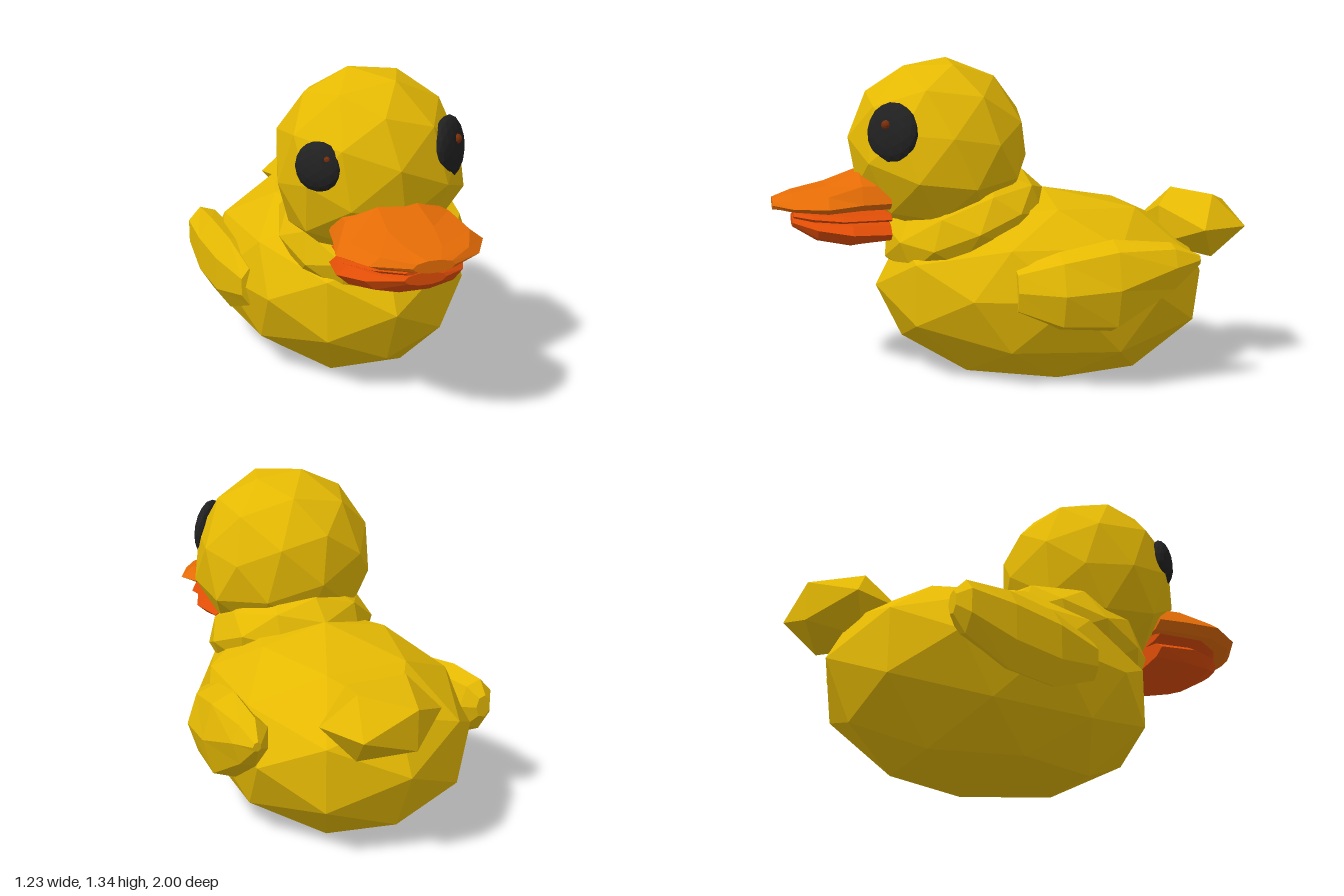
import * as THREE from 'three';

export function createModel() {
  const duck = new THREE.Group();
  duck.name = 'duck';

  const paint = (name, color) => {
    const m = new THREE.MeshStandardMaterial({ color, flatShading: true });
    m.name = name;
    return m;
  };
  const yellow = paint('yellow', 0xe5b903);
  const orange = paint('orange', 0xe56c06);
  const darkOrange = paint('darkOrange', 0xdf4d06);
  const black = paint('black', 0x212121);
  const brown = paint('brown', 0x782e0a);

  const add = (name, geometry, material, position = [0, 0, 0]) => {
    const mesh = new THREE.Mesh(geometry, material);
    mesh.name = name;
    mesh.position.set(...position);
    duck.add(mesh);
    return mesh;
  };

  // Faceted ellipsoid; an optional rule moves the vertices of the unit sphere first
  const blob = (rx, ry, rz, detail = 1, rule = null) => {
    const g = new THREE.IcosahedronGeometry(1, detail);
    const p = g.attributes.position;
    if (rule) for (let i = 0; i < p.count; i++) p.setXYZ(i, ...rule(p.getX(i), p.getY(i), p.getZ(i)));
    g.scale(rx, ry, rz);
    g.computeVertexNormals();
    return g;
  };

  // Closed loft through rings [z, cx, cy, halfWidth, up, down], ascending in z
  const loft = (sections, sides) => {
    const positions = [], index = [];
    for (const [z, cx, cy, w, up, down] of sections) {
      for (let k = 0; k < sides; k++) {
        const a = (k / sides) * Math.PI * 2, s = Math.sin(a);
        positions.push(cx + w * Math.cos(a), cy + s * (s > 0 ? up : down), z);
      }
    }
    const last = sections.length - 1;
    const capStart = positions.length / 3;
    for (const i of [0, last]) positions.push(sections[i][1], sections[i][2], sections[i][0]);
    for (let k = 0; k < sides; k++) {
      const n = (k + 1) % sides;
      for (let i = 0; i < last; i++) {
        const a = i * sides, b = a + sides;
        index.push(a + k, a + n, b + n, a + k, b + n, b + k);
      }
      index.push(capStart, n, k, capStart + 1, last * sides + k, last * sides + n);
    }
    const g = new THREE.BufferGeometry();
    g.setAttribute('position', new THREE.Float32BufferAttribute(positions, 3));
    g.setIndex(index);
    g.computeVertexNormals();
    return g;
  };

  // Body: narrower toward the front, with a deeper, flattened underside
  const bodyRule = (x, y, z) => [
    x * (1 - 0.12 * z),
    y > 0 ? y * 0.405 : Math.max(y * 0.456 * (1 - 0.06 * z), -0.375),
    z,
  ];
  add('body', blob(0.55, 1, 0.735, 1, bodyRule), yellow, [-0.02, 0.375, -0.165]);

  // Neck collar, leaning down toward the front
  add('neck', blob(0.37, 0.215, 0.375), yellow, [-0.025, 0.637, 0.18]).rotation.x = 0.38;

  // Head: wider at the cheeks
  const headRule = (x, y, z) => [y < 0 ? x * (1 - 0.22 * y) : x, y, z];
  add('head', blob(0.385, 0.385, 0.39, 1, headRule), yellow, [-0.05, 0.965, 0.29])
    .rotation.set(-0.12, 0, 0.17);

  // Tail
  add('tail', blob(0.272, 0.16, 0.212, 0), yellow, [0.075, 0.62, -0.816]).rotation.y = 0.35;

  // Wings
  add('leftWing', loft([
    [-0.69, 0.54, 0.54, 0.018, 0.02, 0.02],
    [-0.58, 0.515, 0.52, 0.08, 0.09, 0.12],
    [-0.34, 0.505, 0.44, 0.115, 0.19, 0.2],
    [-0.12, 0.48, 0.42, 0.115, 0.16, 0.17],
    [0.05, 0.43, 0.42, 0.06, 0.09, 0.1],
  ], 7), yellow);
  add('rightWing', loft([
    [-0.6, -0.545, 0.46, 0.035, 0.05, 0.05],
    [-0.55, -0.54, 0.455, 0.08, 0.11, 0.12],
    [-0.36, -0.53, 0.41, 0.09, 0.16, 0.18],
    [-0.15, -0.505, 0.38, 0.09, 0.16, 0.17],
    [0.05, -0.48, 0.38, 0.05, 0.08, 0.09],
  ], 7), yellow);

  // Bill: upper half, mouth lining and lower half
  add('upperBill', loft([
    [0.52, -0.05, 0.755, 0.24, 0.12, 0.05],
    [0.64, -0.05, 0.755, 0.265, 0.12, 0.05],
    [0.78, -0.05, 0.745, 0.3, 0.075, 0.045],
    [0.92, -0.05, 0.74, 0.22, 0.05, 0.03],
    [1.0, -0.045, 0.74, 0.085, 0.025, 0.025],
  ], 10), orange);
  add('mouthLining', loft([
    [0.52, -0.04, 0.69, 0.24, 0.025, 0.025],
    [0.72, -0.04, 0.69, 0.262, 0.025, 0.025],
    [0.84, -0.04, 0.692, 0.19, 0.02, 0.025],
    [0.915, -0.04, 0.692, 0.085, 0.015, 0.015],
  ], 10), darkOrange);
  add('lowerBill', loft([
    [0.52, -0.05, 0.625, 0.24, 0.055, 0.05],
    [0.68, -0.05, 0.63, 0.265, 0.055, 0.075],
    [0.82, -0.05, 0.645, 0.2, 0.04, 0.065],
    [0.92, -0.045, 0.665, 0.085, 0.025, 0.025],
  ], 10), darkOrange);

  // Eyes: flattened domes with small glints, facing outward from the head
  const front = new THREE.Vector3(0, 0, 1);
  const eye = (name, position, normal, radius, glint, glintRadius) => {
    const n = new THREE.Vector3(...normal).normalize();
    add(name, blob(radius, radius, 0.045, 2), black, position).quaternion.setFromUnitVectors(front, n);
    add(name + 'Glint', blob(glintRadius, glintRadius, glintRadius), brown, glint);
  };
  eye('leftEye', [0.214, 1.05, 0.518], [0.7, 0.1, 0.7], 0.126, [0.235, 1.085, 0.545], 0.021);
  eye('rightEye', [-0.327, 1.015, 0.515], [-0.68, 0.08, 0.73], 0.1, [-0.307, 1.053, 0.558], 0.018);

  return duck;
}
